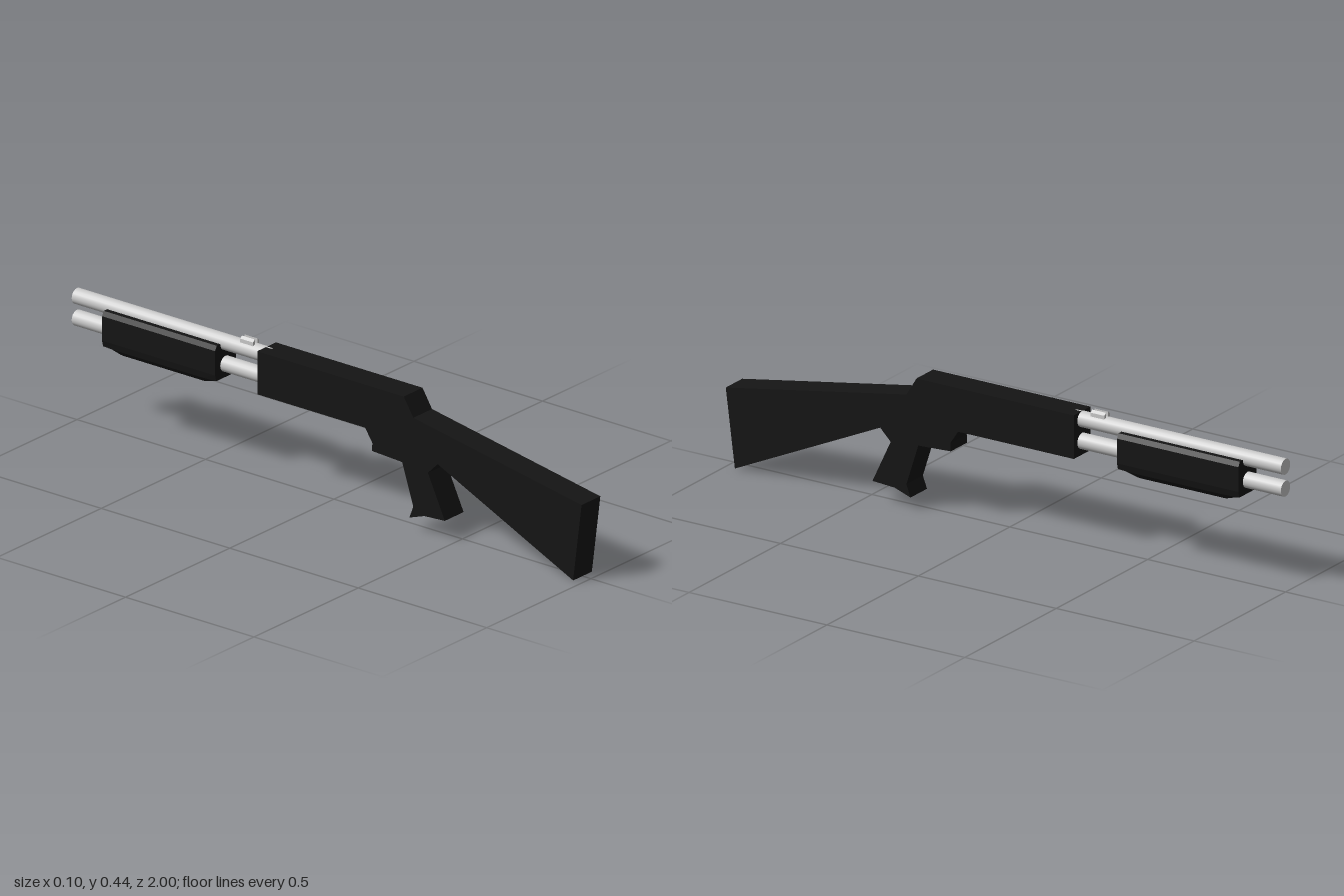
import * as THREE from 'three';

const dark = new THREE.MeshStandardMaterial({ color: 0x151515, flatShading: true });
const grey = new THREE.MeshStandardMaterial({ color: 0xcccccc });
const greyFlat = new THREE.MeshStandardMaterial({ color: 0xcccccc, flatShading: true });

function makeShape(points) {
  return new THREE.Shape(points.map(([a, b]) => new THREE.Vector2(a, b)));
}

// Extrudes an outline along z, centred on z = 0
function extrude(points, depth, steps = 1) {
  const geometry = new THREE.ExtrudeGeometry(makeShape(points), { depth, steps, bevelEnabled: false });
  return geometry.translate(0, 0, -depth / 2);
}

function addPart(group, name, geometry, material) {
  const mesh = new THREE.Mesh(geometry, material);
  mesh.name = name;
  group.add(mesh);
  return mesh;
}

// Stock, pistol grip and receiver share one side outline, given as (z, y)
function bodyGeometry() {
  const outline = [
    [1.0, 0.255], [0.967, 0.0], [0.44, 0.243], [0.402, 0.205],
    [0.468, 0.065], [0.388, 0.06], [0.33, 0.04], [0.345, 0.08],
    [0.302, 0.214], [0.184, 0.22], [0.186, 0.246], [0.158, 0.289],
    [-0.262, 0.289], [-0.262, 0.43], [0.308, 0.43], [0.345, 0.37],
  ];
  return extrude(outline, 0.09).rotateY(-Math.PI / 2);
}

// Sliding fore-end: rounded underside, with the bottom cut back at both ends
function foreEndGeometry() {
  const half = [
    [0.022, 0.267], [0.036, 0.275], [0.045, 0.288],
    [0.05, 0.31], [0.05, 0.39], [0.042, 0.405],
  ];
  const outline = [...half, ...half.map(([x, y]) => [-x, y]).reverse()];
  const length = 0.44;
  const geometry = extrude(outline, length, 7);
  const p = geometry.attributes.position;
  for (let i = 0; i < p.count; i++) {
    if (Math.abs(p.getZ(i)) > length / 2 - 0.001) p.setY(i, Math.max(p.getY(i), 0.29));
  }
  geometry.computeVertexNormals();
  return geometry.translate(0, 0, -0.642);
}

export function createModel() {
  const model = new THREE.Group();
  model.name = 'shotgun';

  addPart(model, 'stockAndReceiver', bodyGeometry(), dark);
  addPart(model, 'foreEnd', foreEndGeometry(), dark);

  // Barrel above, magazine tube below
  for (const [name, y] of [['barrel', 0.405], ['magazineTube', 0.334]]) {
    const tube = new THREE.CylinderGeometry(0.0255, 0.0255, 0.76, 20).rotateX(Math.PI / 2);
    addPart(model, name, tube, grey).position.set(0, y, -0.62);
  }

  // Rear sight: two posts with tops sloping outward
  const sight = new THREE.Group();
  sight.name = 'rearSight';
  const posts = {
    leftPost: [[0.006, 0.42], [0.015, 0.415], [0.015, 0.438], [0.006, 0.445]],
    rightPost: [[-0.015, 0.415], [-0.006, 0.42], [-0.006, 0.445], [-0.015, 0.438]],
  };
  for (const [name, outline] of Object.entries(posts)) {
    addPart(sight, name, extrude(outline, 0.05), greyFlat).position.z = -0.328;
  }
  model.add(sight);

  return model;
}
